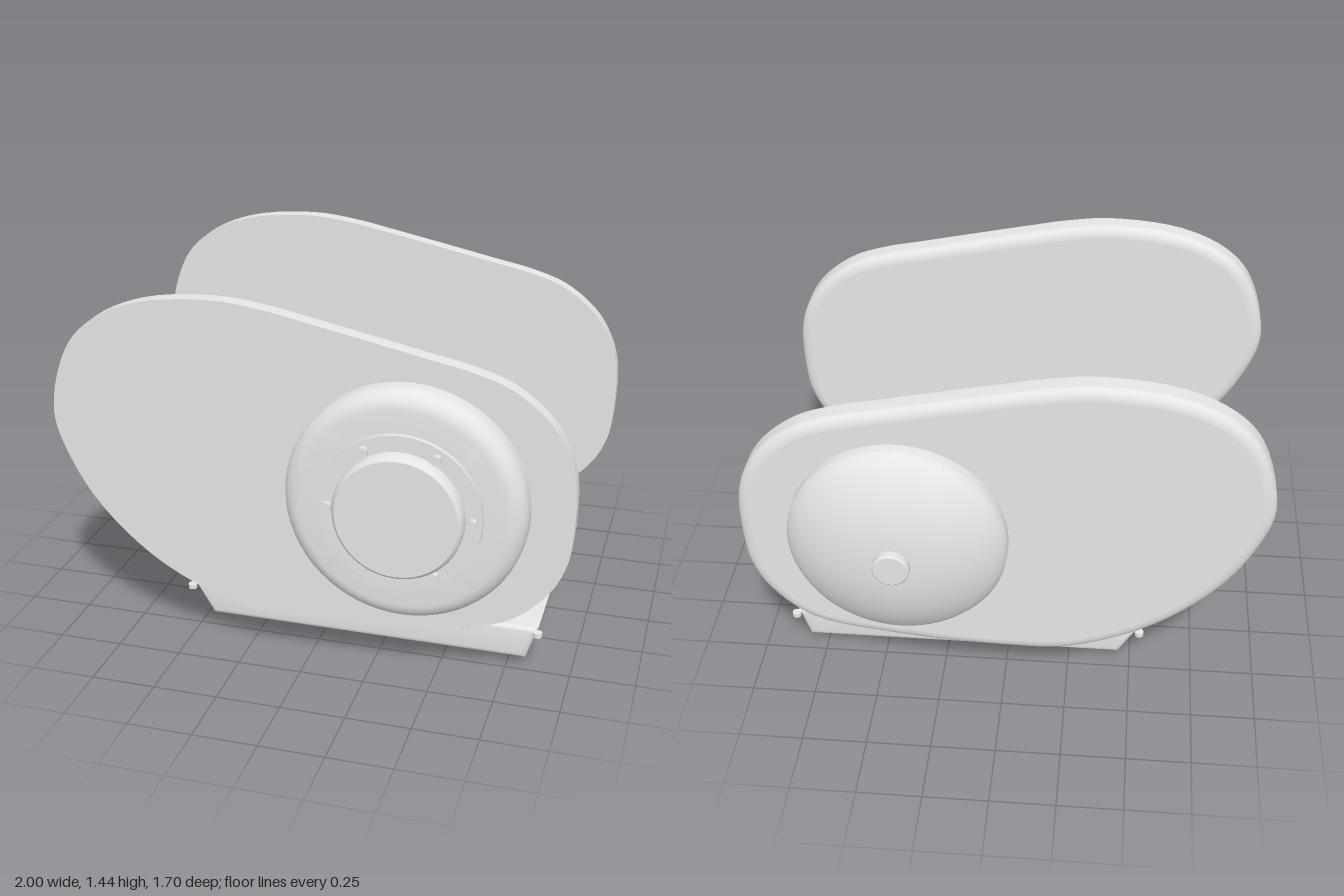
import * as THREE from 'three';
import { toCreasedNormals } from 'three/addons/utils/BufferGeometryUtils.js';

export function createModel() {
  const model = new THREE.Group();
  const metal = new THREE.MeshStandardMaterial({ color: 0xe5e5e5 });
  metal.name = 'lightGreyMetal';

  const add = (name, geometry, parent = model) => {
    const mesh = new THREE.Mesh(geometry, metal);
    mesh.name = name;
    parent.add(mesh);
    return mesh;
  };
  const HUB_X = 0.393, HUB_Y = 0.75;

  // Case outline, clockwise from the left tip
  const outline = new THREE.CatmullRomCurve3([
    [-1, 0.94], [-0.93, 1.2], [-0.82, 1.32], [-0.63, 1.405], [-0.34, 1.437], [-0.15, 1.418],
    [0, 1.389], [0.24, 1.34], [0.45, 1.296], [0.62, 1.26], [0.76, 1.21], [0.89, 1.11], [0.96, 1.005],
    [0.998, 0.88], [0.997, 0.65], [0.98, 0.55], [0.92, 0.43], [0.76, 0.29], [0.43, 0.222],
    [0, 0.192], [-0.26, 0.205], [-0.58, 0.34], [-0.82, 0.55], [-0.95, 0.76],
  ].map(([x, y]) => new THREE.Vector3(x, y, 0)), true, 'centripetal').getPoints(120).slice(0, -1);

  // Outline moved inwards by a distance
  const inset = (d) => outline.map((p, i) => {
    const n = outline.length;
    const t = outline[(i + 1) % n].clone().sub(outline[(i + n - 1) % n]).normalize();
    return new THREE.Vector2(p.x + t.y * d, p.y - t.x * d);
  });

  // Case plate: square edge on the +z side, rounded edge on the -z side
  function casePlate(name, zBack, zFront) {
    const group = new THREE.Group();
    group.name = name;
    const rings = [[0, zFront]];
    for (let k = 0; k <= 6; k++) {
      const a = (k / 6) * Math.PI / 2;
      rings.push([0.045 * (1 - Math.cos(a)), zBack + 0.035 * (1 - Math.sin(a))]);
    }
    const n = outline.length, pos = [], idx = [];
    rings.forEach(([d, z], r) => {
      inset(d).forEach((p, i) => {
        pos.push(p.x, p.y, z);
        if (r === 0) return;
        const j = (i + 1) % n, a = (r - 1) * n, b = r * n;
        idx.push(a + i, a + j, b + i, a + j, b + j, b + i);
      });
    });
    const rim = new THREE.BufferGeometry();
    rim.setAttribute('position', new THREE.Float32BufferAttribute(pos, 3));
    rim.setIndex(idx);
    rim.computeVertexNormals();
    add('caseRim', rim, group);
    add('caseFrontFace', new THREE.ShapeGeometry(new THREE.Shape(inset(0))).translate(0, 0, zFront), group);
    const back = new THREE.ShapeGeometry(new THREE.Shape(inset(0.045))).translate(0, 0, zBack);
    // Turn the winding round so the face looks backwards
    const bi = back.index.array;
    for (let i = 0; i < bi.length; i += 3) [bi[i], bi[i + 1]] = [bi[i + 1], bi[i]];
    back.computeVertexNormals();
    add('caseBackFace', back, group);
    model.add(group);
  }
  casePlate('frontCase', 0.567, 0.66);
  casePlate('rearCase', -0.637, -0.545);

  // Turned part on the hub axis; profile is [radius, distance along z]
  const turned = (name, profile, dir) => {
    const lathe = new THREE.LatheGeometry(profile.map(([r, h]) => new THREE.Vector2(r, h)), 64);
    const g = toCreasedNormals(lathe, 0.6);
    add(name, g.rotateX(dir * Math.PI / 2).translate(HUB_X, HUB_Y, 0));
  };

  // Front hub: rounded drum, flange and raised cap
  const drum = [[0.452, 0.65], [0.452, 0.7]];
  for (let k = 1; k <= 8; k++) {
    const a = (k / 8) * Math.PI / 2;
    drum.push([0.382 + 0.07 * Math.cos(a), 0.7 + 0.068 * Math.sin(a)]);
  }
  drum.push([0.29, 0.772], [0, 0.772]);
  turned('frontDrum', drum, 1);
  turned('frontFlange', [[0.28, 0.765], [0.302, 0.775], [0.302, 0.795], [0, 0.795]], 1);
  turned('frontCap', [[0.241, 0.79], [0.241, 0.828], [0.235, 0.841], [0.226, 0.848], [0, 0.848]], 1);

  // Ring of bolts around the cap
  for (let i = 0; i < 6; i++) {
    const a = (i / 6) * Math.PI * 2;
    const g = new THREE.CylinderGeometry(0.019, 0.019, 0.03, 12).rotateX(Math.PI / 2);
    add('flangeBolt', g.translate(HUB_X + 0.266 * Math.cos(a), HUB_Y + 0.266 * Math.sin(a), 0.802));
  }

  // Rear domed cover with centre knob
  turned('rearDome', [
    [0.415, 0.63], [0.415, 0.685], [0.398, 0.71], [0.37, 0.732], [0.32, 0.762],
    [0.27, 0.784], [0.21, 0.803], [0.14, 0.818], [0.07, 0.823], [0, 0.824],
  ], -1);
  turned('rearKnob', [[0.07, 0.81], [0.07, 0.848], [0.063, 0.854], [0, 0.854]], -1);

  // Oil pan: tapered tray with softened edges
  const bevel = 0.022, length = 0.938;
  const tray = new THREE.Shape([
    [-0.455, 0.035], [0.822, 0.035], [0.867, 0.173], [-0.535, 0.173],
  ].map(([x, y]) => new THREE.Vector2(x, y)));
  const pan = new THREE.ExtrudeGeometry(tray, {
    depth: length - 2 * bevel, bevelThickness: bevel, bevelSize: bevel, bevelOffset: -bevel, bevelSegments: 4,
  });
  add('oilPan', toCreasedNormals(pan.translate(0, 0, -0.458 + bevel), 0.6));

  // Pan bolts along both long edges
  for (const z of [-0.467, 0.489]) {
    for (let i = 0; i < 6; i++) {
      add('panBolt', new THREE.CylinderGeometry(0.018, 0.018, 0.018, 12).translate(-0.535 + 0.2805 * i, 0.157, z));
    }
  }

  // Hexagonal drain plug
  const plug = new THREE.CylinderGeometry(0.041, 0.041, 0.045, 6).toNonIndexed();
  plug.computeVertexNormals();
  add('drainPlug', plug.translate(0.168, 0.0225, 0.014));

  return model;
}
